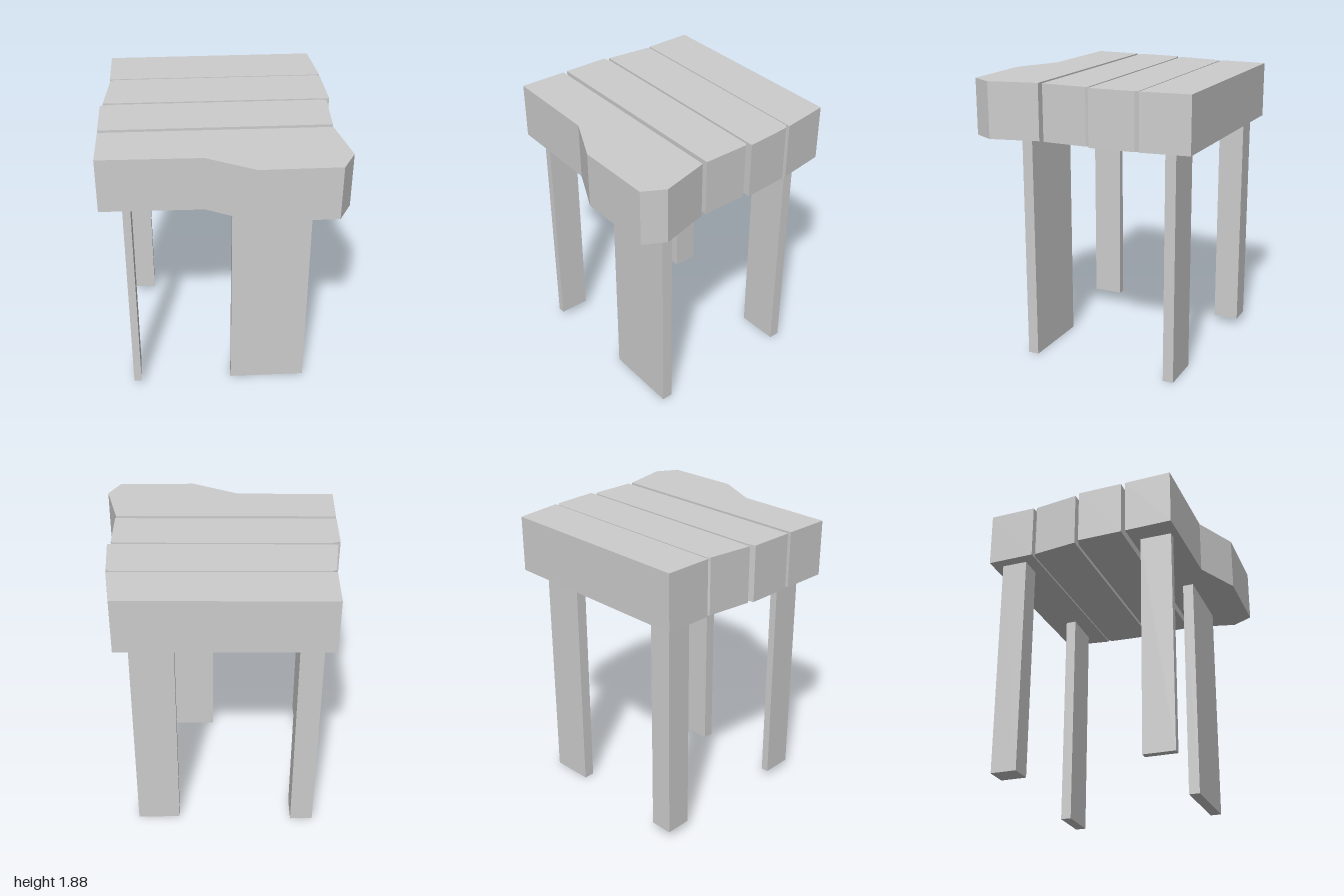
import * as THREE from 'three';

const grey = new THREE.MeshStandardMaterial({ color: 0xcccccc });
grey.name = 'plain grey';

// Upright prism from a floor-plan outline of [x, z] points
function prism(name, outline, bottom, top) {
  const shape = new THREE.Shape(outline.map(([x, z]) => new THREE.Vector2(x, -z)));
  const geometry = new THREE.ExtrudeGeometry(shape, { depth: top - bottom, bevelEnabled: false });
  geometry.rotateX(-Math.PI / 2).translate(0, bottom, 0);
  const mesh = new THREE.Mesh(geometry, grey);
  mesh.name = name;
  return mesh;
}

export function createModel() {
  const model = new THREE.Group();
  model.name = 'plankStool';
  const seatBottom = 1.518, seatTop = 1.882;

  // Seat: four thick planks with narrow open gaps, laid diagonally
  const planks = {
    backPlank: [[0.02, -1], [0.95, -0.04], [0.755, 0.21], [-0.205, -0.785]],
    backMiddlePlank: [[-0.22, -0.765], [-0.195, -0.76], [0.735, 0.2], [0.735, 0.23], [0.535, 0.45], [-0.46, -0.585]],
    frontMiddlePlank: [[-0.495, -0.575], [-0.445, -0.545], [0.5, 0.435], [0.5, 0.455], [0.285, 0.66], [-0.71, -0.37]],
    notchedFrontPlank: [[-0.73, -0.35], [0.262, 0.68], [0.09, 0.955], [-0.062, 0.995], [-0.41, 0.64], [-0.515, 0.325], [-0.955, -0.14]],
  };
  const seat = new THREE.Group();
  seat.name = 'seat';
  for (const [name, outline] of Object.entries(planks)) {
    seat.add(prism(name, outline, seatBottom, seatTop));
  }

  // Legs: two longer and two shorter boards of different widths
  const legs = [
    ['frontLeg', 0, [[-0.315, 0.37], [0.035, 0.73], [0.087, 0.68], [-0.263, 0.32]]],
    ['leftLeg', 0, [[0.555, -0.155], [0.755, 0.04], [0.805, -0.01], [0.605, -0.205]]],
    ['rightLeg', 0.05, [[-0.825, -0.07], [-0.79, -0.035], [-0.645, -0.18], [-0.68, -0.215]]],
    ['backLeg', 0.05, [[0.125, -0.8], [0.005, -0.68], [-0.1, -0.785], [0.02, -0.905]]],
  ];
  const legGroup = new THREE.Group();
  legGroup.name = 'legs';
  for (const [name, bottom, outline] of legs) {
    legGroup.add(prism(name, outline, bottom, seatBottom));
  }

  model.add(seat, legGroup);
  return model;
}
